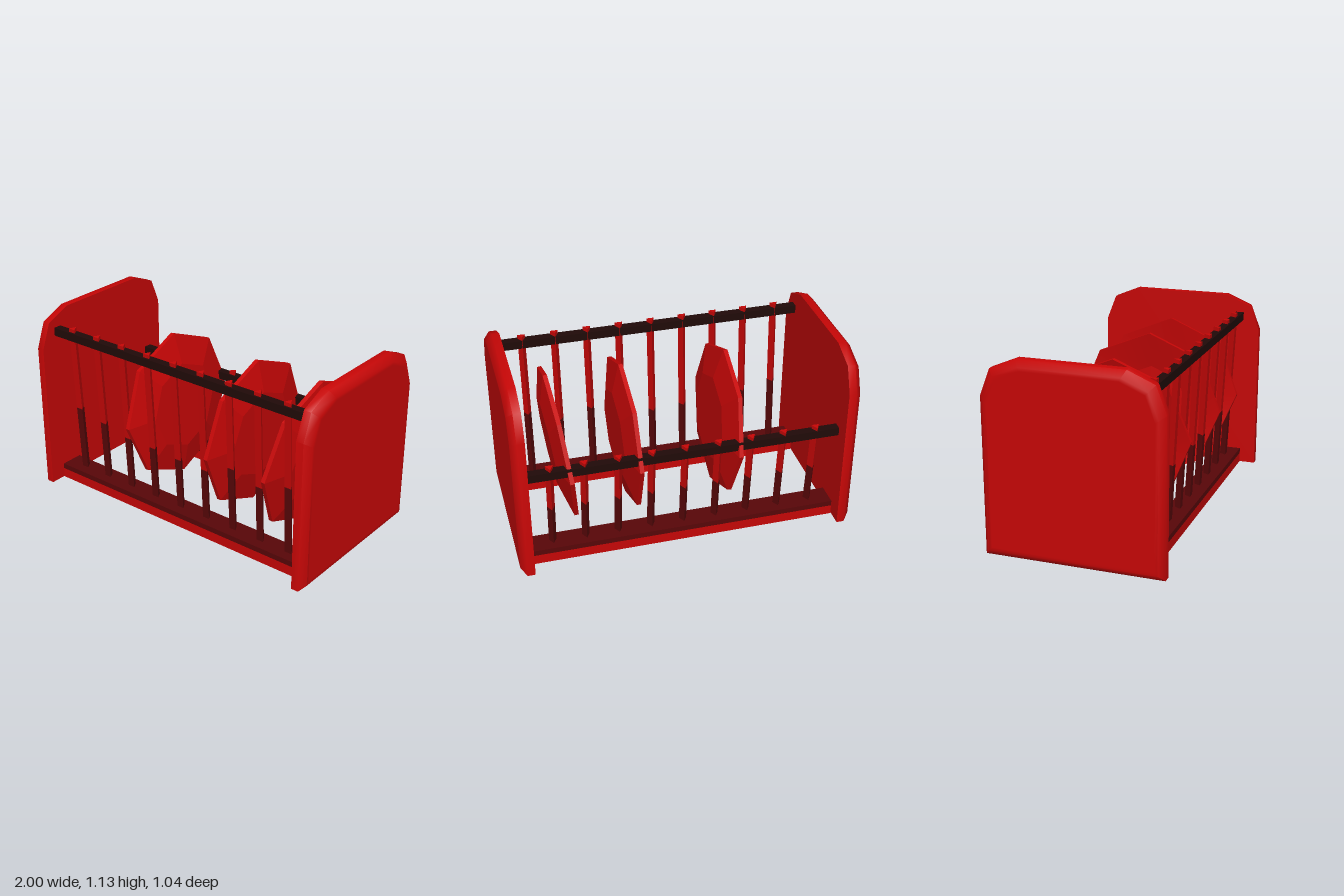
import * as THREE from 'three';
import { toCreasedNormals } from 'three/addons/utils/BufferGeometryUtils.js';

const material = (name, color) => {
  const m = new THREE.MeshStandardMaterial({ color });
  m.name = name;
  return m;
};

// End panel: rounded-top outline, softly chamfered on its outer (+x) side
function panelGeometry() {
  const half = [[0.52, 0], [0.52, 0.91], [0.46, 1.065], [0.305, 1.13]];
  const outline = [...half, ...half.map(([z, y]) => [-z, y]).reverse()];
  const n = outline.length, cy = 0.565;
  const rings = [[0.92, 1], [0.965, 1], [1, 0.935], [1, 0.9]];
  const pos = [], idx = [];
  for (const [x, s] of rings)
    for (const [z, y] of outline) pos.push(x, cy + (y - cy) * s, z * s);
  for (let r = 0; r < rings.length - 1; r++)
    for (let i = 0; i < n; i++) {
      const a = r * n + i, b = r * n + (i + 1) % n;
      idx.push(a, b + n, b, a, a + n, b + n);
    }
  const last = (rings.length - 1) * n;
  for (let i = 1; i < n - 1; i++) {
    idx.push(0, i, i + 1);
    idx.push(last, last + i + 1, last + i);
  }
  const g = new THREE.BufferGeometry();
  g.setAttribute('position', new THREE.Float32BufferAttribute(pos, 3));
  g.setIndex(idx);
  return toCreasedNormals(g, 0.9);
}

// Eight-sided dish with a corner at the top, hollow toward -x
function plateGeometry() {
  const profile = [[0, 0.05], [0.24, 0.05], [0.455, 0], [0.455, 0.025], [0.27, 0.072], [0, 0.072]]
    .map(([r, h]) => new THREE.Vector2(r, h));
  const g = new THREE.LatheGeometry(profile, 8);
  g.rotateZ(-Math.PI / 2);
  return toCreasedNormals(g, 0.2);
}

export function createModel() {
  const model = new THREE.Group();
  model.name = 'plateRack';
  const red = material('red', 0xc60606);
  const darkRed = material('dark red', 0x580608);
  const black = material('brown black', 0x200a08);

  const add = (name, geometry, mat, x, y, z) => {
    const mesh = new THREE.Mesh(geometry, mat);
    mesh.name = name;
    mesh.position.set(x, y, z);
    model.add(mesh);
    return mesh;
  };

  // End panels
  const panel = panelGeometry();
  add('leftPanel', panel, red, 0, 0, 0);
  add('rightPanel', panel, red, 0, 0, 0).rotation.y = Math.PI;

  // Base planks with darker tops
  for (const [name, z] of [['front', 0.352], ['back', -0.357]]) {
    add(name + 'Plank', new THREE.BoxGeometry(1.832, 0.06, 0.14), red, 0, 0.03, z);
    add(name + 'PlankTop', new THREE.BoxGeometry(1.832, 0.033, 0.14), darkRed, 0, 0.0765, z);
  }

  // Rails: high at the front, low at the back
  const rail = new THREE.BoxGeometry(1.84, 0.05, 0.05);
  add('frontRail', rail, black, 0, 0.997, 0.395);
  add('backRail', rail, black, 0, 0.602, -0.402);

  // Three-sided spindles leaning outward, darker at the foot
  const spindle = (name, x, y0, y1, zAt, mat) => {
    const dy = y1 - y0, dz = zAt(y1) - zAt(y0);
    const g = new THREE.CylinderGeometry(0.026, 0.026, Math.hypot(dy, dz), 3);
    g.rotateY(Math.PI);
    const m = add(name, toCreasedNormals(g, 0.3), mat, x, (y0 + y1) / 2, (zAt(y0) + zAt(y1)) / 2);
    m.rotation.x = Math.atan2(dz, dy);
  };
  const frontSplits = [0.51, 0.47, 0.43, 0.43, 0.42, 0.42, 0.5, 0.45, 0.52];
  const rows = [
    { name: 'front', top: 1.045, split: i => frontSplits[i], zAt: y => 0.348 + (y - 0.09) * 0.05 },
    { name: 'back', top: 0.65, split: () => 0.35, zAt: y => -0.355 - (y - 0.09) * 0.085 },
  ];
  for (const { name, top, split, zAt } of rows)
    for (let i = 0; i < 9; i++) {
      const x = (i - 4) * 0.196;
      spindle(name + 'SpindleFoot', x, 0.08, split(i), zAt, darkRed);
      spindle(name + 'Spindle', x, split(i), top, zAt, red);
    }

  // Plates standing at slight tilts
  const plate = plateGeometry();
  for (const [x, tilt] of [[-0.33, 0.07], [0.256, -0.025], [0.655, -0.11]])
    add('plate', plate, red, x, 0.545, 0).rotation.z = tilt;

  return model;
}
